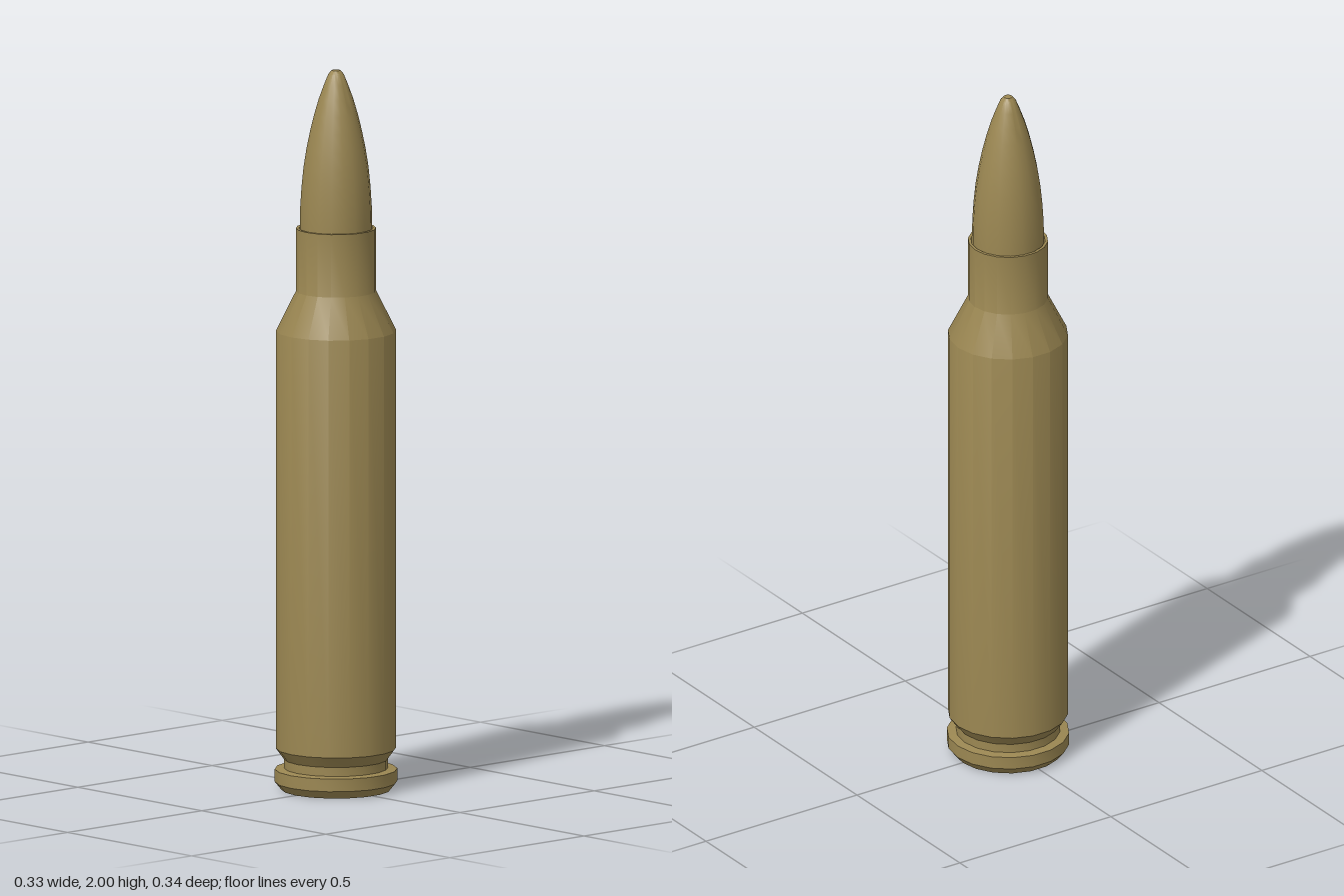
import * as THREE from 'three';
import { toCreasedNormals } from 'three/addons/utils/BufferGeometryUtils.js';

const SIDES = 18;
const brass = new THREE.MeshStandardMaterial({ color: 0x9b8752 });

// Turns a bottom-to-top [radius, height] profile, keeping hard corners sharp
function turned(name, profile) {
  const points = profile.map(([r, y]) => new THREE.Vector2(r, y));
  const geometry = toCreasedNormals(new THREE.LatheGeometry(points, SIDES), 0.55);
  const mesh = new THREE.Mesh(geometry, brass);
  mesh.name = name;
  return mesh;
}

export function createModel() {
  const group = new THREE.Group();
  group.name = 'cartridge';

  // Case: primer pocket, rim, extractor groove, body, shoulder, neck and mouth
  group.add(turned('case', [
    [0.075, 0.015], [0.085, 0], [0.15, 0], [0.168, 0.022], [0.168, 0.057],
    [0.143, 0.06], [0.143, 0.085], [0.165, 0.115],
    [0.165, 1.275], [0.11, 1.385], [0.11, 1.56],
    [0.102, 1.56], [0.098, 1.53],
  ]));

  // Primer set slightly into the base
  group.add(turned('primer', [[0, 0.006], [0.07, 0.006], [0.076, 0.016]]));

  // Bullet: curved nose with a small blunt tip
  const nose = new THREE.SplineCurve([
    [0.099, 1.53], [0.098, 1.62], [0.089, 1.73], [0.071, 1.83],
    [0.047, 1.92], [0.021, 1.988],
  ].map(([r, y]) => new THREE.Vector2(r, y)));
  const profile = nose.getPoints(10).map((p) => [p.x, p.y]);
  group.add(turned('bullet', [...profile, [0.012, 1.998], [0, 2]]));

  return group;
}
